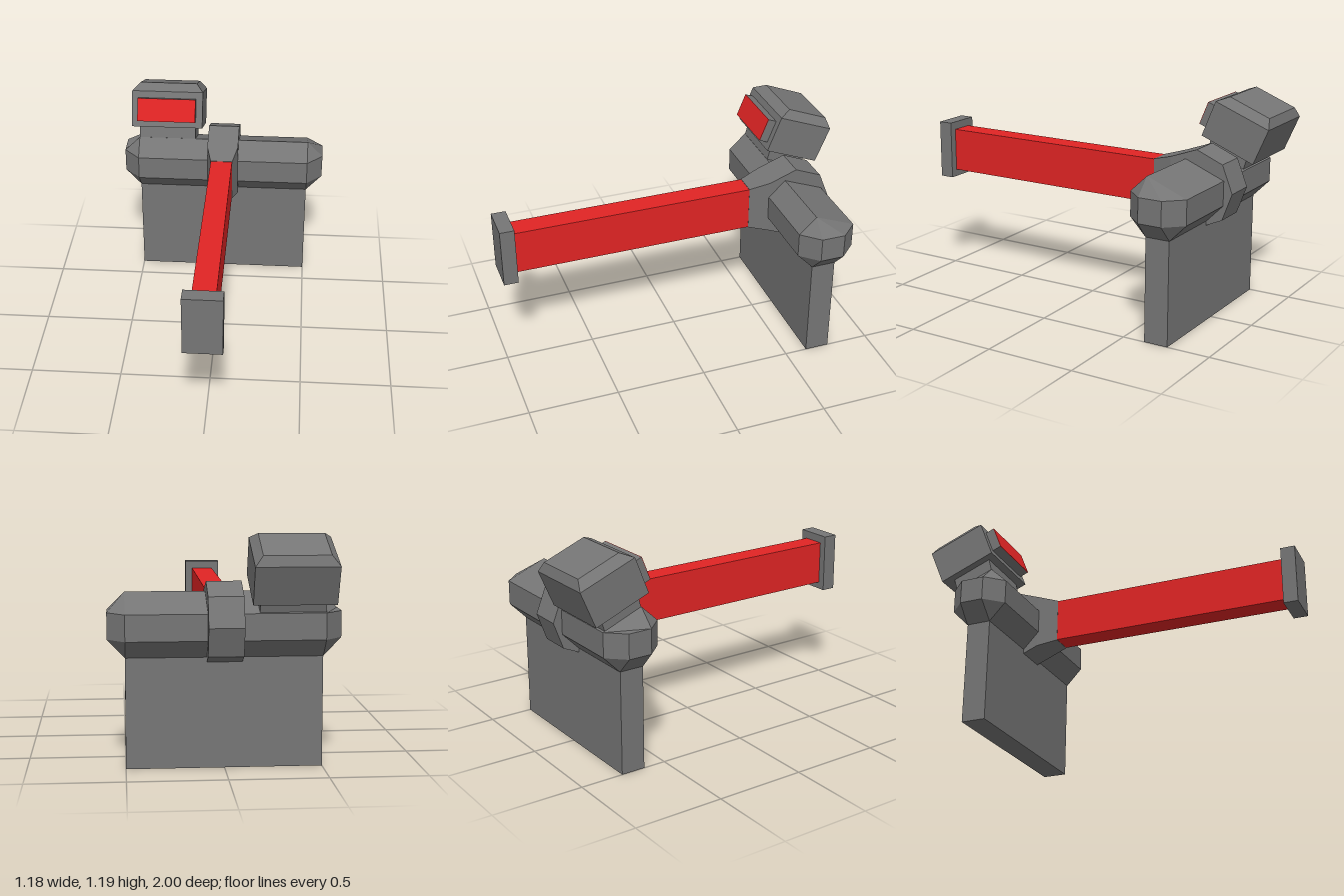
import * as THREE from 'three';

const gunGrey = new THREE.MeshStandardMaterial({ color: 0x757575 });
gunGrey.name = 'gunGrey';
const signalRed = new THREE.MeshStandardMaterial({ color: 0xe02424 });
signalRed.name = 'signalRed';

// Joins equally sized rings of [x, y, z] points and closes both ends, flat-faced
function loft(rings) {
  const tris = [];
  const n = rings[0].length;
  for (let r = 0; r + 1 < rings.length; r++) {
    const a = rings[r], b = rings[r + 1];
    for (let i = 0; i < n; i++) {
      const j = (i + 1) % n;
      tris.push([a[i], a[j], b[j]], [a[i], b[j], b[i]]);
    }
  }
  const first = rings[0], last = rings[rings.length - 1];
  for (let i = 1; i + 1 < n; i++) {
    tris.push([first[0], first[i + 1], first[i]], [last[0], last[i], last[i + 1]]);
  }
  // Turn every face outward: the signed volume must be positive
  const v = (p) => new THREE.Vector3(...p);
  const volume = tris.reduce((s, [a, b, c]) => s + v(a).dot(v(b).cross(v(c))), 0);
  const points = tris.flatMap(([a, b, c]) => (volume < 0 ? [a, c, b] : [a, b, c])).flat();
  const g = new THREE.BufferGeometry();
  g.setAttribute('position', new THREE.Float32BufferAttribute(points, 3));
  g.computeVertexNormals();
  return g;
}

// Places a [z, y] outline at one x
const at = (x, outline) => outline.map(([z, y]) => [x, y, z]);

// Level rectangle between two x values, its front and back edges given as [z, y]
const rect = (x0, x1, [zf, yf], [zb, yb]) => [[x0, yf, zf], [x1, yf, zf], [x1, yb, zb], [x0, yb, zb]];

export function createModel() {
  const model = new THREE.Group();
  model.name = 'sightedCrossbarTool';

  const add = (name, geometry, material) => {
    const mesh = new THREE.Mesh(geometry, material);
    mesh.name = name;
    model.add(mesh);
    return mesh;
  };
  const box = (name, material, [x0, x1], [y0, y1], [z0, z1]) =>
    add(name, new THREE.BoxGeometry(x1 - x0, y1 - y0, z1 - z0), material)
      .position.set((x0 + x1) / 2, (y0 + y1) / 2, (z0 + z1) / 2);

  // Hanging plate, long handle and its end stop
  box('hangingPlate', gunGrey, [-0.5, 0.5], [0, 0.575], [-0.76, -0.625]);
  box('handle', signalRed, [-0.062, 0.062], [0.61, 0.855], [-0.43, 0.92]);
  box('handleEnd', gunGrey, [-0.103, 0.103], [0.57, 0.9], [0.92, 1]);

  // Crossbar: seven-sided, narrowing to a square at both ends
  const bar = [[-0.535, 0.8], [-0.63, 0.89], [-0.855, 0.8], [-0.855, 0.665],
    [-0.762, 0.57], [-0.625, 0.57], [-0.535, 0.665]];
  const tip = [[-0.63, 0.8], [-0.63, 0.8], [-0.762, 0.8], [-0.762, 0.665],
    [-0.762, 0.665], [-0.63, 0.665], [-0.63, 0.665]];
  add('crossbar', loft([at(-0.59, tip), at(-0.5, bar), at(0.5, bar), at(0.59, tip)]), gunGrey);

  // Collar around the crossbar, tapering forward onto the handle
  const collar = [[-0.54, 0.89], [-0.695, 0.947], [-0.845, 0.885], [-0.905, 0.735],
    [-0.85, 0.585], [-0.76, 0.545], [-0.625, 0.545], [-0.54, 0.58], [-0.427, 0.608], [-0.427, 0.857]];
  const collarSide = (s) => collar.map(([z, y]) => [s * (z > -0.5 ? 0.063 : 0.09), y, z]);
  add('collar', loft([collarSide(-1), collarSide(1)]), gunGrey);

  // Neck carrying the tilted sight head
  const neck = [[-0.63, 0.88], [-0.65, 0.958], [-0.865, 0.872], [-0.84, 0.79]];
  add('sightNeck', loft([at(-0.5, neck), at(-0.168, neck)]), gunGrey);

  // Sight head with a bevelled top
  add('sightHead', loft([
    rect(-0.543, -0.126, [-0.612, 0.97], [-0.917, 0.848]),
    rect(-0.543, -0.126, [-0.69, 1.165], [-1, 1.043]),
    rect(-0.5, -0.166, [-0.755, 1.19], [-0.985, 1.098]),
  ]), gunGrey);

  // Lens housing and its lens, square to the tilted head
  const lens = new THREE.Group();
  lens.name = 'lensAssembly';
  lens.position.set(-0.335, 1.086, -0.602);
  lens.rotation.x = -0.385;
  model.add(lens);
  const housing = new THREE.Mesh(new THREE.BoxGeometry(0.34, 0.134, 0.07), gunGrey);
  housing.name = 'lensHousing';
  housing.position.z = -0.038;
  const glass = new THREE.Mesh(new THREE.BoxGeometry(0.34, 0.134, 0.003), signalRed);
  glass.name = 'lens';
  glass.position.z = -0.0015;
  lens.add(housing, glass);

  return model;
}
